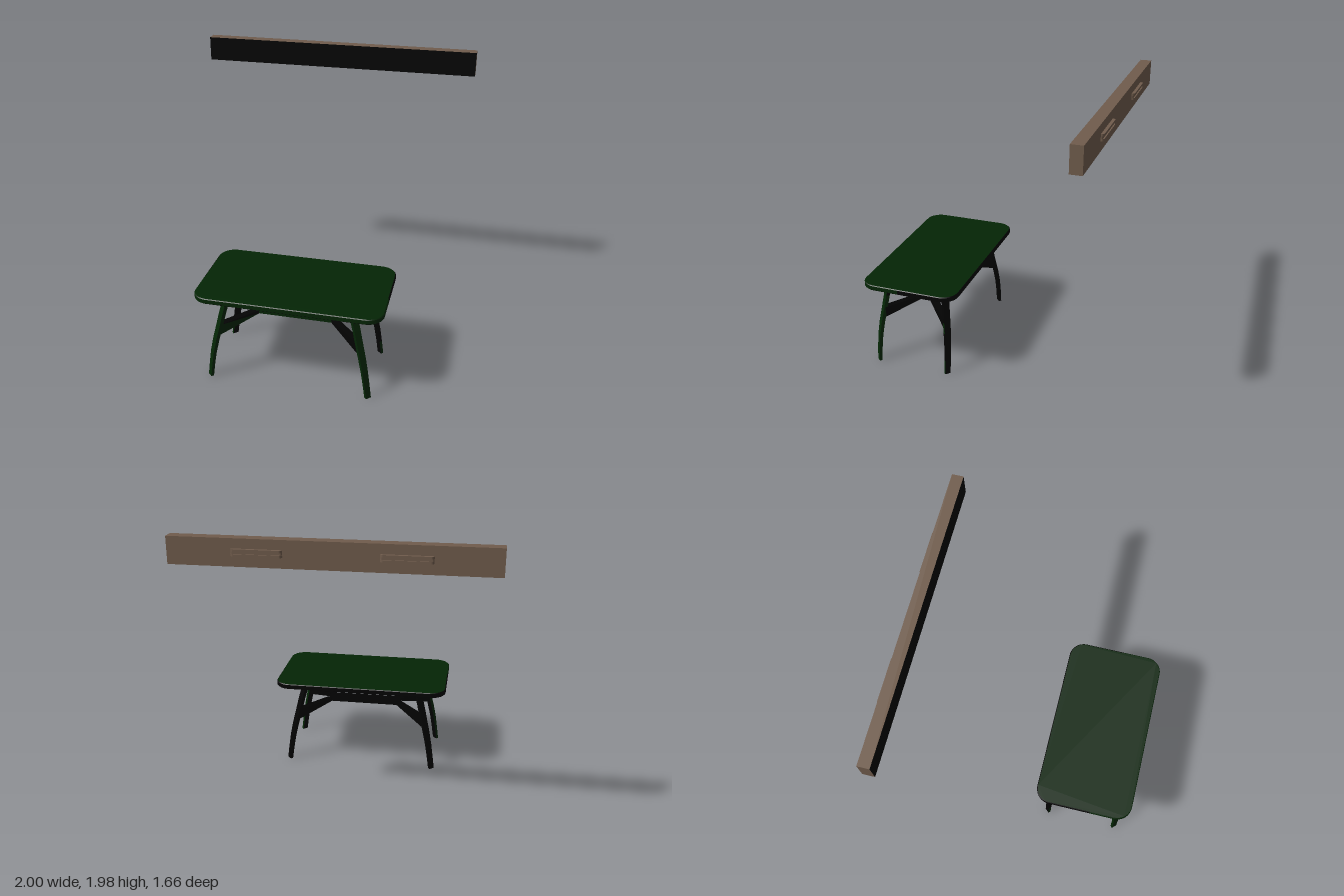
import * as THREE from 'three';

const green = new THREE.MeshStandardMaterial({ color: 0x042505 });
green.name = 'dark green';
const black = new THREE.MeshStandardMaterial({ color: 0x020202 });
black.name = 'black';
const brown = new THREE.MeshStandardMaterial({ color: 0x705c4c });
brown.name = 'brown';

// Mesh whose triangles are sorted into material 0 or 1 by a rule on centre and normal
function painted(name, geometry, materials, rule) {
  const src = geometry.index ? geometry.toNonIndexed() : geometry;
  const p = src.attributes.position;
  const lists = [[], []];
  const tri = new THREE.Triangle();
  const c = new THREE.Vector3(), n = new THREE.Vector3();
  for (let i = 0; i < p.count; i += 3) {
    tri.setFromAttributeAndIndices(p, i, i + 1, i + 2);
    tri.getMidpoint(c);
    tri.getNormal(n);
    lists[rule(c, n) ? 0 : 1].push(...tri.a.toArray(), ...tri.b.toArray(), ...tri.c.toArray());
  }
  const g = new THREE.BufferGeometry();
  g.setAttribute('position', new THREE.Float32BufferAttribute(lists.flat(), 3));
  g.addGroup(0, lists[0].length / 3, 0);
  g.addGroup(lists[0].length / 3, lists[1].length / 3, 1);
  g.computeVertexNormals();
  const mesh = new THREE.Mesh(g, materials);
  mesh.name = name;
  return mesh;
}

// Solid through a row of four-cornered sections; flip reverses the winding
function loft(sections, flip) {
  const index = [];
  const quad = (a, b, c, d) => index.push(...(flip ? [a, c, b, a, d, c] : [a, b, c, a, c, d]));
  const last = (sections.length - 1) * 4;
  for (let s = 0; s < last; s += 4)
    for (let k = 0; k < 4; k++) {
      const m = (k + 1) % 4;
      quad(s + k, s + m, s + 4 + m, s + 4 + k);
    }
  quad(3, 2, 1, 0);
  quad(last, last + 1, last + 2, last + 3);
  const g = new THREE.BufferGeometry();
  g.setAttribute('position', new THREE.Float32BufferAttribute(sections.flat(2), 3));
  g.setIndex(index);
  return g;
}

// Leg profile: height, centre x, centre z, width across the diagonal, thickness along it
const legRows = [
  [0, 0.55, 0.265, 0.04, 0.02],
  [0.1, 0.537, 0.265, 0.041, 0.021],
  [0.2, 0.522, 0.262, 0.043, 0.023],
  [0.3, 0.502, 0.253, 0.046, 0.025],
  [0.38, 0.483, 0.242, 0.047, 0.026],
  [0.5, 0.456, 0.227, 0.047, 0.027],
  [0.58, 0.435, 0.214, 0.048, 0.028],
  [0.63, 0.423, 0.205, 0.049, 0.028],
];

function makeLeg(sx, sz) {
  const sections = legRows.map(([y, x, z, width, thick]) => {
    const w = width * 0.3536, t = thick * 0.3536;
    return [[-w - t, w - t], [-w + t, w + t], [w + t, -w + t], [w - t, -w - t]]
      .map(([dx, dz]) => [sx * (x + dx), y, sz * (z + dz)]);
  });
  const frontRule = (c, n) => {
    const out = n.x * sx;
    if (out < -0.3 && n.z < 0) return false;
    return Math.abs(n.y) < 0.9 && c.y < (n.z < 0 ? 0.5 : 0.56);
  };
  const backRule = (c, n) =>
    n.z > 0.3 && n.x * sx > 0.3 && (c.y < 0.1 || (c.y > 0.3 && c.y < 0.38));
  return painted(sz > 0 ? 'frontLeg' : 'backLeg', loft(sections, sx * sz < 0),
    [green, black], sz > 0 ? frontRule : backRule);
}

// Diagonal brace rising from a leg to the end of the middle rail
function makeBrace(sx, sz) {
  const rows = [[0.482, 0.238, 0.337, 0.412], [0.27, 0.042, 0.414, 0.438]];
  const w = 0.016;
  const sections = rows.map(([x, z, y0, y1]) => [
    [sx * (x - w), y0, sz * (z + w)], [sx * (x + w), y0, sz * (z - w)],
    [sx * (x + w), y1, sz * (z - w)], [sx * (x - w), y1, sz * (z + w)],
  ]);
  // The lower half of the left-hand front face is green
  return painted('brace', loft(sections, sx * sz > 0), [green, black],
    (c, n) => sx < 0 && sz > 0 && n.z > 0.3 && c.y < 0.4);
}

function makeTableTop() {
  const w = 0.637, d = 0.349, r = 0.11, split = -0.06;
  const s = new THREE.Shape();
  s.moveTo(-w + r, -d);
  s.lineTo(w - r, -d);
  s.absarc(w - r, -d + r, r, -Math.PI / 2, 0);
  s.lineTo(w, split);
  s.lineTo(w, d - r);
  s.absarc(w - r, d - r, r, 0, Math.PI / 2);
  s.lineTo(-w + r, d);
  s.absarc(-w + r, d - r, r, Math.PI / 2, Math.PI);
  s.lineTo(-w, split);
  s.lineTo(-w, -d + r);
  s.absarc(-w + r, -d + r, r, Math.PI, Math.PI * 1.5);
  const b = 0.005;
  const g = new THREE.ExtrudeGeometry(s, {
    depth: 0.038 - 2 * b, bevelThickness: b, bevelSize: b, bevelOffset: -b, bevelSegments: 1, curveSegments: 10,
  });
  g.rotateX(-Math.PI / 2).translate(0, 0.621 + b, 0);
  // Green on top and round the front half of the rim, black elsewhere
  return painted('tableTop', g, [green, black],
    (c, n) => n.y > 0.9 || (n.y > -0.5 && c.z > -split));
}

// Flat-topped strip with rounded back corners, lying along x
function makeMountStrip(height, depth) {
  const h = 0.156, r = depth * 0.9;
  const s = new THREE.Shape();
  s.moveTo(-h, 0);
  s.lineTo(h, 0);
  s.absarc(h - r, depth - r, r, 0, Math.PI / 2);
  s.absarc(-h + r, depth - r, r, Math.PI / 2, Math.PI);
  s.closePath();
  const g = new THREE.ExtrudeGeometry(s, { depth: height, bevelEnabled: false, curveSegments: 6 });
  g.rotateX(-Math.PI / 2).translate(0, -height / 2, 0);
  return new THREE.Mesh(g, brown);
}

export function createModel() {
  const model = new THREE.Group();
  model.name = 'tableAndWallBar';

  // Table
  const table = new THREE.Group();
  table.name = 'table';
  table.position.set(-0.018, 0, 0.479);
  table.add(makeTableTop());
  const base = new THREE.Group();
  base.name = 'tableBase';
  base.position.z = 0.008;
  for (const sx of [-1, 1])
    for (const sz of [-1, 1]) base.add(makeLeg(sx, sz), makeBrace(sx, sz));
  const rail = painted('middleRail', new THREE.BoxGeometry(0.56, 0.024, 0.116), [green, black],
    (c, n) => n.z > 0.5);
  rail.position.y = 0.426;
  base.add(rail);
  table.add(base);
  model.add(table);

  // Long bar with a black front face
  const bar = new THREE.Group();
  bar.name = 'wallBar';
  bar.position.set(0, 1.893, -0.773);
  bar.add(painted('barBody', new THREE.BoxGeometry(2, 0.172, 0.078), [black, brown], (c, n) => n.z > 0.5));

  // Grooved mounts on the back of the bar: two strips with a shallower core between
  for (const side of [-1, 1]) {
    const mount = new THREE.Group();
    mount.name = 'mount';
    mount.position.set(side * 0.445, 0.003, -0.039);
    for (const [y, height, depth] of [[0.015, 0.014, 0.02], [0, 0.016, 0.012], [-0.015, 0.014, 0.02]]) {
      const strip = makeMountStrip(height, depth);
      strip.name = 'mountStrip';
      strip.position.y = y;
      mount.add(strip);
    }
    bar.add(mount);
  }
  model.add(bar);
  return model;
}
